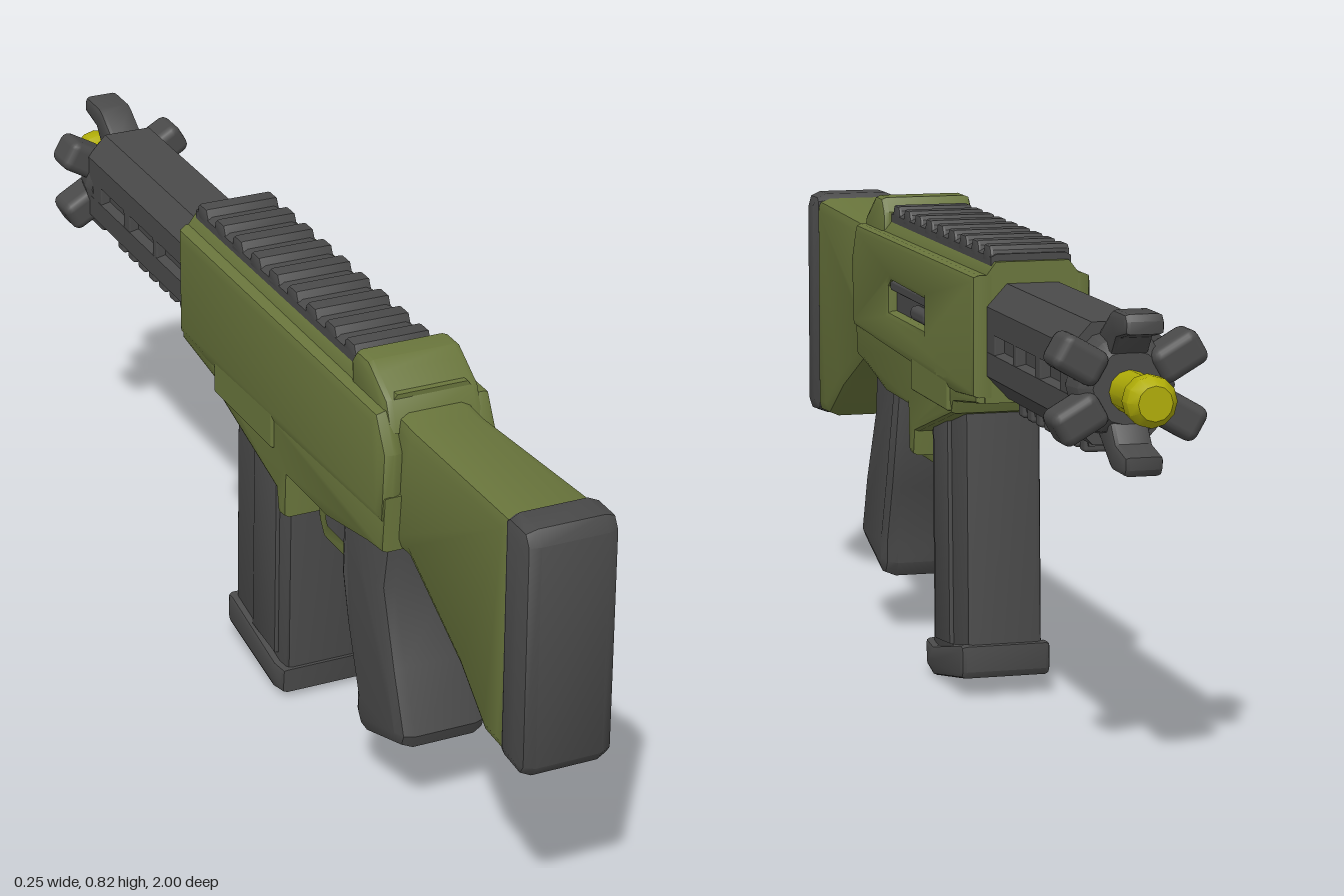
import * as THREE from 'three';
import { toCreasedNormals } from 'three/addons/utils/BufferGeometryUtils.js';
import { RoundedBoxGeometry } from 'three/addons/geometries/RoundedBoxGeometry.js';

const material = (name, color) => {
  const m = new THREE.MeshStandardMaterial({ color });
  m.name = name;
  return m;
};

export function createModel() {
  const green = material('olive green', 0x69753c);
  const gray = material('dark gray', 0x4a4a4a);
  const yellow = material('yellow', 0xb0ad08);
  const model = new THREE.Group();
  model.name = 'toyRifle';

  const add = (name, mat, geo) => {
    const mesh = new THREE.Mesh(geo, mat);
    mesh.name = name;
    model.add(mesh);
    return mesh;
  };
  const toShape = (pts) => new THREE.Shape(pts.map(([a, b]) => new THREE.Vector2(a, b)));
  const extrude = (pts, depth, bevel, holes = []) => {
    const shape = toShape(pts);
    holes.forEach((h) => shape.holes.push(toShape(h)));
    return new THREE.ExtrudeGeometry(shape, {
      depth: depth - 2 * bevel, bevelEnabled: bevel > 0, bevelThickness: bevel,
      bevelSize: bevel, bevelOffset: -bevel, bevelSegments: 2,
    }).translate(0, 0, bevel - depth / 2);
  };
  // Side profile in (z, y), spanning x0..x1, with an optional taper rule
  const slab = (name, mat, pts, x0, x1, bevel = 0.01, holes = [], taper = null) => {
    const geo = extrude(pts, x1 - x0, bevel, holes).rotateY(-Math.PI / 2);
    geo.translate((x0 + x1) / 2, 0, 0);
    if (taper) {
      const p = geo.attributes.position;
      for (let i = 0; i < p.count; i++) p.setX(i, p.getX(i) * taper(p.getZ(i), p.getY(i)));
    }
    return add(name, mat, toCreasedNormals(geo, 0.65));
  };
  // Cross-section in (x, y), mirrored from its right half, spanning z0..z1
  const bar = (name, mat, half, z0, z1, bevel = 0) => {
    const pts = [...half, ...half.map(([x, y]) => [-x, y]).reverse()];
    const geo = extrude(pts, z1 - z0, bevel).translate(0, 0, (z0 + z1) / 2);
    return add(name, mat, toCreasedNormals(geo, 0.65));
  };
  const block = (name, mat, w, h, d, x, y, z, r = 0.006) =>
    add(name, mat, new RoundedBoxGeometry(w, h, d, 2, r).translate(x, y, z));
  const rect = (z0, z1, y0, y1) => [[z0, y0], [z1, y0], [z1, y1], [z0, y1]];

  // Stock and butt pad
  slab('stock', green, [
    [0.93, 0.768], [0.56, 0.755], [0.48, 0.76], [0.48, 0.51], [0.55, 0.513],
    [0.75, 0.415], [0.85, 0.345], [0.93, 0.342],
  ], -0.08, 0.08, 0.024, [], (z) => 0.86 + 0.14 * THREE.MathUtils.smoothstep(z, 0.6, 0.9));
  slab('buttPad', gray, [
    [0.91, 0.765], [0.925, 0.776], [0.985, 0.775], [1, 0.75], [1, 0.355],
    [0.985, 0.335], [0.925, 0.34], [0.91, 0.35],
  ], -0.085, 0.085, 0.026);

  // Upper receiver: core, side skins and raised rear hump
  bar('receiverCore', green, [[0.083, 0.55], [0.083, 0.765], [0.064, 0.79]], -0.325, 0.5);
  const skin = [
    [0.525, 0.57], [0.535, 0.7], [0.5, 0.765], [-0.325, 0.768], [-0.325, 0.56], [-0.2, 0.55],
  ];
  const port = [[0.0, 0.632], [0.258, 0.632], [0.258, 0.676], [0.24, 0.688], [0, 0.685]];
  slab('rightSkin', green, skin, -0.106, -0.06, 0.02);
  slab('leftSkin', green, skin, 0.06, 0.106, 0.012, [port]);
  slab('rearHump', green, [
    [0.52, 0.73], [0.5, 0.782], [0.455, 0.81], [0.43, 0.825], [0.385, 0.825],
    [0.365, 0.8], [0.365, 0.73],
  ], -0.086, 0.086, 0.012);

  // Ejection port
  slab('portBacking', gray, rect(-0.01, 0.268, 0.62, 0.695), 0.083, 0.087, 0);
  block('portBolt', gray, 0.025, 0.026, 0.1, 0.092, 0.65, 0.052, 0.01);
  block('portCover', gray, 0.01, 0.018, 0.25, 0.096, 0.68, 0.128, 0.004);

  // Lower receiver with the magazine well
  slab('lowerReceiver', green, [
    [0.53, 0.62], [0.52, 0.515], [0.46, 0.508], [0.3, 0.478], [0.135, 0.478],
    [0.13, 0.395], [0.1, 0.392], [0.092, 0.437], [-0.16, 0.508], [-0.17, 0.53],
    [-0.32, 0.55], [-0.32, 0.62],
  ], -0.1, 0.1, 0.01);
  for (const s of [-1, 1]) {
    block('wellPanel', green, 0.012, 0.075, 0.25, s * 0.1, 0.55, -0.035, 0.005);
  }

  // Trigger guard and trigger
  slab('triggerGuard', green, [
    [0.315, 0.49], [0.305, 0.385], [0.28, 0.357], [0.155, 0.357], [0.135, 0.385], [0.125, 0.49],
  ], -0.036, 0.036, 0.006, [[
    [0.286, 0.48], [0.28, 0.395], [0.27, 0.38], [0.17, 0.38], [0.16, 0.395], [0.155, 0.48],
  ]]);
  slab('trigger', gray, [
    [0.275, 0.49], [0.268, 0.44], [0.25, 0.415], [0.228, 0.398], [0.235, 0.44], [0.23, 0.49],
  ], -0.018, 0.018, 0.004);

  // Pistol grip
  slab('grip', gray, [
    [0.49, 0.53], [0.478, 0.42], [0.53, 0.29], [0.57, 0.18], [0.56, 0.155],
    [0.42, 0.11], [0.392, 0.113], [0.374, 0.14], [0.376, 0.175],
    [0.335, 0.29], [0.31, 0.38], [0.3, 0.53],
  ], -0.083, 0.083, 0.026, [], (z, y) => 1 - 0.12 * THREE.MathUtils.smoothstep(y, 0.36, 0.48));

  // Magazine with raised side strips and base plate
  slab('magazine', gray, [[0.09, 0.5], [0.076, 0.04], [-0.158, 0.06], [-0.143, 0.53]],
    -0.068, 0.068, 0.01);
  for (const s of [-1, 1]) {
    slab('magazineStrip', gray, [[0.045, 0.47], [0.033, 0.07], [-0.065, 0.08], [-0.05, 0.49]],
      s * 0.07 - 0.006, s * 0.07 + 0.006, 0.003);
  }
  slab('magazineBase', gray, [
    [0.085, 0.06], [0.08, 0.012], [0.035, 0.002], [-0.16, 0.038], [-0.167, 0.05],
    [-0.165, 0.095], [-0.15, 0.097], [0.04, 0.055],
  ], -0.081, 0.081, 0.009);

  // Toothed top rail
  bar('topRail', gray, [[0.07, 0.775], [0.07, 0.797], [0.06, 0.802]], -0.315, 0.37);
  for (let i = 0; i < 9; i++) {
    const z = -0.312 + i * 0.077;
    slab('topRailTooth', gray, [
      [z, 0.785], [z + 0.004, 0.808], [z + 0.012, 0.815], [z + 0.042, 0.815], [z + 0.056, 0.785],
    ], -0.07, 0.07, 0.005);
  }

  // Handguard with grooved sides; fillers divide the grooves into slots
  bar('handguard', gray, [
    [0.042, 0.557], [0.08, 0.597], [0.08, 0.638], [0.062, 0.642], [0.062, 0.668],
    [0.08, 0.672], [0.08, 0.715], [0.045, 0.753],
  ], -0.81, -0.3);
  const gaps = [[-0.37, -0.3], [-0.5, -0.48], [-0.64, -0.61], [-0.81, -0.75]];
  for (const [z0, z1] of gaps) {
    block('slotDivider', gray, 0.159, 0.04, z1 - z0, 0, 0.655, (z0 + z1) / 2, 0.003);
  }
  bar('lowerRail', gray, [[0.036, 0.548], [0.042, 0.575]], -0.77, -0.38);
  for (let i = 0; i < 8; i++) {
    block('lowerRailTooth', gray, 0.085, 0.026, 0.03, 0, 0.55, -0.4 - i * 0.05);
  }

  // Muzzle collar with six lugs
  const round = (name, mat, pts, y) => add(name, mat, toCreasedNormals(
    new THREE.LatheGeometry(pts.map(([r, z]) => new THREE.Vector2(r, z)), 12)
      .rotateX(-Math.PI / 2).translate(0, y, 0), 0.7));
  round('muzzleCollar', gray,
    [[0, 0.79], [0.082, 0.79], [0.088, 0.81], [0.08, 0.85], [0.06, 0.868], [0, 0.868]], 0.655);
  const lug = [
    [-0.79, 0.71], [-0.8, 0.735], [-0.86, 0.775], [-0.875, 0.781], [-0.938, 0.781],
    [-0.946, 0.77], [-0.946, 0.75], [-0.89, 0.738], [-0.86, 0.7],
  ];
  slab('topLug', gray, lug, -0.032, 0.032, 0.008);
  slab('bottomLug', gray, lug.map(([z, y]) => [z, 1.308 - y]), -0.032, 0.032, 0.008);
  for (const a of [30, 150, 210, 330].map(THREE.MathUtils.degToRad)) {
    const mesh = add('sideLug', gray, new RoundedBoxGeometry(0.085, 0.06, 0.074, 2, 0.016));
    mesh.position.set(Math.cos(a) * 0.094, 0.655 + Math.sin(a) * 0.094, -0.845);
    mesh.rotation.z = a;
  }

  // Safety tip
  round('safetyTip', yellow, [
    [0, 0.85], [0.034, 0.85], [0.034, 0.945], [0.041, 0.955], [0.041, 0.982],
    [0.028, 1], [0, 1],
  ], 0.65);

  return model;
}
